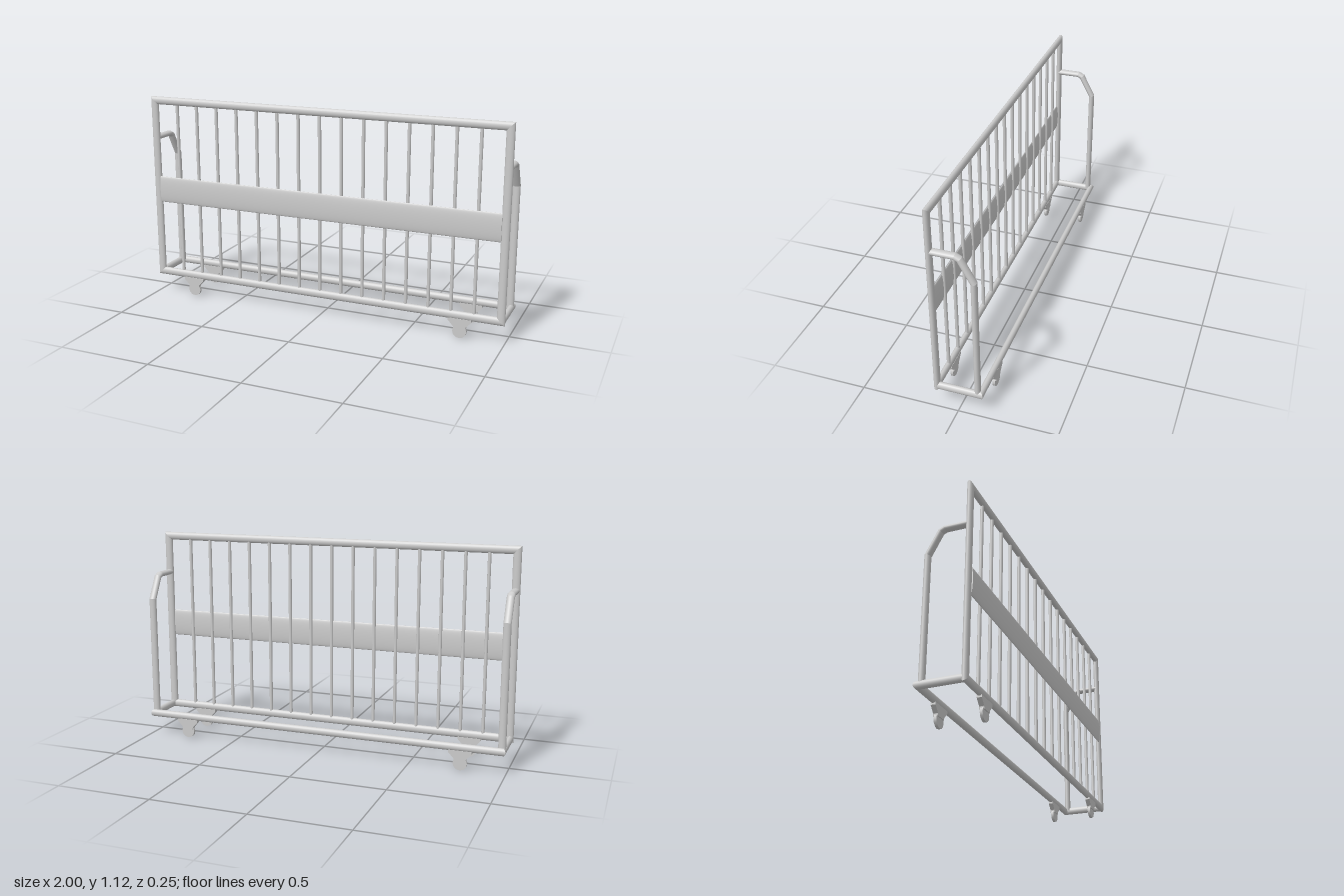
import * as THREE from 'three';

const material = new THREE.MeshStandardMaterial({ color: 0xcccccc, side: THREE.DoubleSide });
const V = (x, y, z) => new THREE.Vector3(x, y, z);

// Oval tube along a flat polyline with mitred corners.
// normal: normal of the path's plane, a / b: half sizes in and across that plane.
function mitredTube(points, normal, a, b, closed = false, sides = 20) {
  const pos = [], nor = [], idx = [];
  const n = points.length, count = closed ? n : n - 1;
  const dir = i => points[(i + 1) % n].clone().sub(points[i]).normalize();
  const sideOf = i => dir(i).cross(normal);
  const miter = (i, seg) => {
    const prev = closed ? (i + n - 1) % n : Math.max(i - 1, 0);
    const next = closed ? i : Math.min(i, n - 2);
    const m = sideOf(prev).add(sideOf(next)).normalize();
    return m.multiplyScalar(1 / m.dot(sideOf(seg)));
  };
  for (let s = 0; s < count; s++) {
    const base = pos.length / 3, side = sideOf(s);
    for (const end of [s, (s + 1) % n]) {
      const m = miter(end, s);
      for (let k = 0; k <= sides; k++) {
        const t = k / sides * Math.PI * 2, c = Math.cos(t), q = Math.sin(t);
        const p = points[end].clone().addScaledVector(m, a * c).addScaledVector(normal, b * q);
        const v = side.clone().multiplyScalar(c / a).addScaledVector(normal, q / b).normalize();
        pos.push(p.x, p.y, p.z);
        nor.push(v.x, v.y, v.z);
      }
    }
    for (let k = 0; k < sides; k++) {
      const i = base + k, j = i + sides + 1;
      idx.push(i, i + 1, j, i + 1, j + 1, j);
    }
  }
  const g = new THREE.BufferGeometry();
  g.setAttribute('position', new THREE.Float32BufferAttribute(pos, 3));
  g.setAttribute('normal', new THREE.Float32BufferAttribute(nor, 3));
  g.setIndex(idx);
  return g;
}

export function createModel() {
  const group = new THREE.Group();
  const add = (name, geometry, x = 0, y = 0, z = 0) => {
    const mesh = new THREE.Mesh(geometry, material);
    mesh.name = name;
    mesh.position.set(x, y, z);
    group.add(mesh);
    return mesh;
  };
  const X = V(1, 0, 0), Y = V(0, 1, 0), Z = V(0, 0, 1);
  const frontZ = 0.111, backZ = -0.11;

  // Upright front frame
  const fx = 0.978, low = 0.121, high = 1.099;
  add('frontFrame', mitredTube(
    [V(-fx, low, frontZ), V(fx, low, frontZ), V(fx, high, frontZ), V(-fx, high, frontZ)],
    Z, 0.0215, 0.015, true));

  // Floor frame, running back from the front posts
  const bx = 0.982;
  add('baseFrame', mitredTube(
    [V(bx, 0.12, frontZ), V(bx, 0.12, backZ), V(-bx, 0.12, backZ), V(-bx, 0.12, frontZ)],
    Y, 0.016, 0.02));

  // Upright bars
  const bar = new THREE.CylinderGeometry(0.009, 0.009, 0.97, 12);
  for (let i = -7; i <= 7; i++) add('bar', bar, i * 0.12, 0.61, 0.109);

  // Wide flattened cross rail in front of the bars
  const rail = new THREE.CylinderGeometry(1, 1, 1.92, 40);
  rail.rotateZ(Math.PI / 2).scale(1, 0.073, 0.009);
  add('crossRail', rail, 0, 0.603, 0.117);

  // Bent side handles
  for (const s of [-1, 1]) {
    const x = s * 0.976;
    add(s > 0 ? 'leftHandle' : 'rightHandle', mitredTube(
      [V(x, 0.895, frontZ), V(x, 0.895, -0.01), V(x, 0.884, -0.032),
        V(x, 0.768, -0.095), V(x, 0.12, -0.095)],
      X, 0.015, 0.02));
  }

  // Casters: tapered fork and wheel
  const fork = new THREE.ExtrudeGeometry(new THREE.Shape([
    [-0.06, 0.105], [-0.06, 0.092], [-0.032, 0.062], [-0.03, 0.05],
    [0.03, 0.05], [0.032, 0.062], [0.06, 0.092], [0.06, 0.105],
  ].map(p => new THREE.Vector2(...p))), { depth: 0.024, bevelEnabled: false });
  fork.translate(0, 0, -0.012);
  const wheel = new THREE.CylinderGeometry(0.037, 0.037, 0.014, 12).rotateX(Math.PI / 2);
  for (const x of [-0.77, 0.77]) {
    for (const z of [frontZ, backZ]) {
      add('casterFork', fork, x, 0, z);
      add('casterWheel', wheel, x, 0.037, z);
    }
  }
  return group;
}
